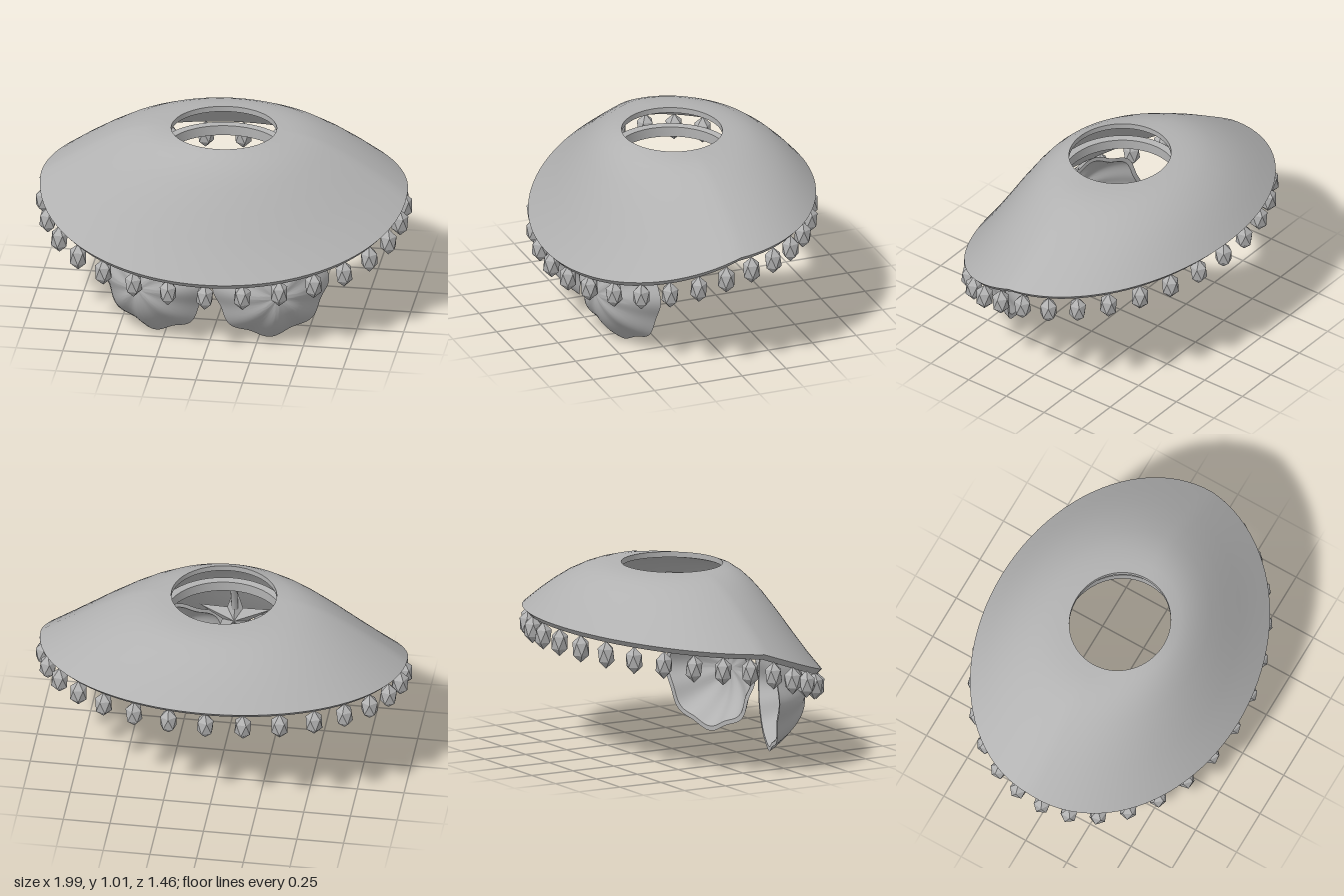
import * as THREE from 'three';
import { toCreasedNormals } from 'three/addons/utils/BufferGeometryUtils.js';

const grey = new THREE.MeshStandardMaterial({ color: 0xb2b2b2, side: THREE.DoubleSide });
grey.name = 'plain grey';

function add(parent, name, geometry) {
  const mesh = new THREE.Mesh(geometry, grey);
  mesh.name = name;
  parent.add(mesh);
  return mesh;
}

// Surface from `rows` cross-section steps swept round `cols` angles
function sweep(rows, cols, closed, point, crease) {
  const pos = [], index = [];
  for (let i = 0; i < rows; i++)
    for (let j = 0; j < cols; j++) pos.push(...point(i, (j / cols) * Math.PI * 2));
  for (let i = 0; i < (closed ? rows : rows - 1); i++)
    for (let j = 0; j < cols; j++) {
      const k = (j + 1) % cols, n = ((i + 1) % rows) * cols;
      const a = i * cols + j, b = n + j, c = n + k, d = i * cols + k;
      index.push(a, b, d, b, c, d);
    }
  const g = new THREE.BufferGeometry();
  g.setAttribute('position', new THREE.Float32BufferAttribute(pos, 3));
  g.setIndex(index);
  return toCreasedNormals(g, crease);
}

// Heights from the hole (first) to the hem (last) at the side, front and back
const STEPS = [0, 0.1, 0.2, 0.3, 0.4, 0.55, 0.7, 0.85, 1];
const SIDE = [1.008, 1.005, 0.995, 0.974, 0.944, 0.887, 0.82, 0.752, 0.68];
const FRONT = [1.008, 0.99, 0.957, 0.91, 0.85, 0.745, 0.632, 0.522, 0.425];
const BACK = [1.008, 1.006, 1.0, 0.99, 0.973, 0.937, 0.885, 0.82, 0.745];
const THICK = 0.03;

function skirtHeight(i, s) {
  const end = s > 0 ? FRONT[i] : BACK[i];
  return SIDE[i] + (end - SIDE[i]) * Math.abs(s);
}

// Skirt with its lining set in a little at the hem
function skirt() {
  const n = STEPS.length;
  return sweep(n * 2, 96, true, (row, t) => {
    const outer = row < n;
    const i = outer ? row : 2 * n - 1 - row;
    const u = STEPS[i], s = Math.cos(t);
    const inset = outer ? 0 : 0.028 * u;
    const y = skirtHeight(i, s) - (outer ? 0 : THICK);
    return [(0.28 + 0.7 * u - inset) * Math.sin(t), y, (0.265 + 0.457 * u - inset) * s];
  }, 0.6);
}

// Fluted bowl opening towards -z, with a thick scalloped rim
function shell() {
  const n = 13, lobes = 8, depth = 0.19;
  return sweep(n * 2, 120, false, (row, t) => {
    const outer = row < n;
    const u = (outer ? row : 2 * n - 1 - row) / (n - 1);
    const wave = Math.cos(lobes * (t + Math.PI / 2));
    const r = (outer ? 0.304 : 0.28) * u * (1 + 0.035 * wave * u);
    const bowl = 1 - Math.pow(u, 2.3);
    const z = depth * bowl + 0.012 * wave * u * (1.2 - u) - (outer ? 0 : 0.022 * bowl);
    return [r * Math.cos(t), r * Math.sin(t), z];
  }, 0.7);
}

// Five-armed star with a ridge along each arm
function star() {
  const g = new THREE.SphereGeometry(1, 10, 2);
  const p = g.attributes.position;
  for (let i = 0; i < p.count; i++) {
    const around = i % 11;
    if (Math.abs(p.getY(i)) < 0.5 && around % 2 === 1) {
      p.setX(i, p.getX(i) * 0.36);
      p.setZ(i, p.getZ(i) * 0.36);
    }
  }
  g.scale(0.2, 0.045, 0.2).rotateX(Math.PI / 2).rotateZ(-Math.PI / 2);
  const flat = g.toNonIndexed();
  flat.computeVertexNormals();
  return flat;
}

export function createModel() {
  const model = new THREE.Group();
  model.name = 'shellAndBeadSkirt';

  add(model, 'skirt', skirt());

  // Waistband: a separate hoop hanging below the hole
  const band = [[0.312, 0.825], [0.35, 0.82], [0.362, 0.835], [0.362, 0.875], [0.35, 0.885], [0.312, 0.88], [0.312, 0.825]];
  const ring = new THREE.LatheGeometry(band.map(([x, y]) => new THREE.Vector2(x, y)), 72);
  add(model, 'waistband', toCreasedNormals(ring, 0.5)).scale.z = 0.95;

  // Faceted beads round the hem
  const beads = new THREE.Group();
  beads.name = 'beads';
  model.add(beads);
  const beadShape = new THREE.IcosahedronGeometry(1, 0);
  beadShape.rotateZ(-Math.atan(2 / (1 + Math.sqrt(5)))).scale(0.05, 0.075, 0.05);
  beadShape.computeVertexNormals();
  for (let i = 0; i < 30; i++) {
    const t = (i / 30) * Math.PI * 2, s = Math.cos(t);
    const bead = add(beads, 'bead', beadShape);
    bead.position.set(0.958 * Math.sin(t), skirtHeight(STEPS.length - 1, s) - THICK - 0.07 + 0.015 * Math.max(s, 0), 0.687 * s);
    bead.rotation.y = t;
  }

  // Pair of scalloped shells, splayed outwards and meeting in the middle
  const shellShape = shell();
  for (const side of [1, -1]) {
    const cup = add(model, side > 0 ? 'leftShell' : 'rightShell', shellShape);
    cup.position.set(side * 0.312, 0.315, 0.41);
    cup.rotation.y = side * 0.34;
  }

  // Star between the shells, hung from the waistband
  add(model, 'star', star()).position.set(0, 0.58, 0.41);
  const path = new THREE.CatmullRomCurve3([
    new THREE.Vector3(0, 0.84, 0.335), new THREE.Vector3(0, 0.73, 0.375), new THREE.Vector3(0, 0.6, 0.41)]);
  add(model, 'strap', new THREE.TubeGeometry(path, 16, 0.018, 10));

  return model;
}
